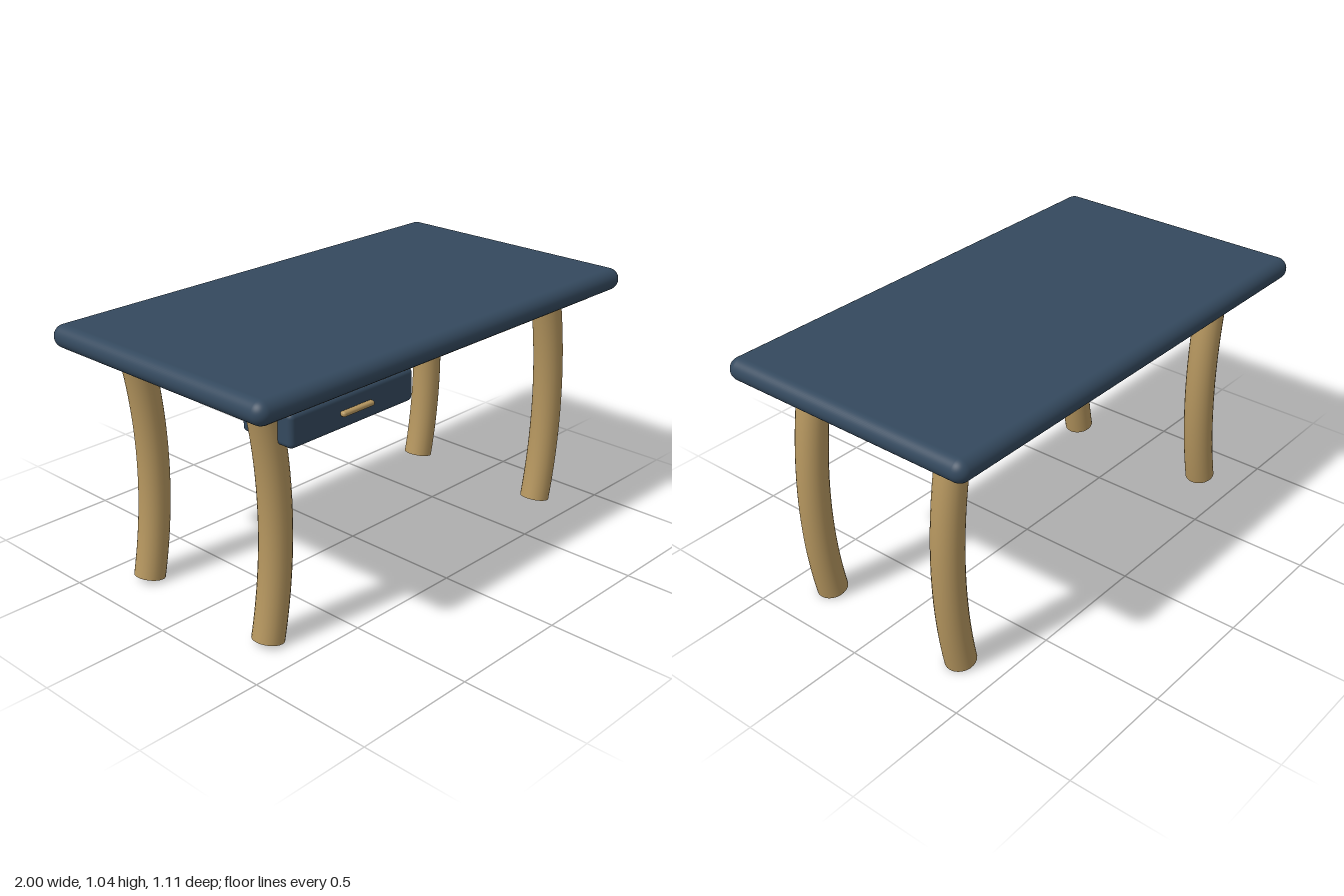
import * as THREE from 'three';
import { RoundedBoxGeometry } from 'three/addons/geometries/RoundedBoxGeometry.js';

export function createModel() {
  const table = new THREE.Group();
  table.name = 'desk';

  const navy = new THREE.MeshStandardMaterial({ color: 0x34495e });
  navy.name = 'navy paint';
  const wood = new THREE.MeshStandardMaterial({ color: 0xb5965f, side: THREE.DoubleSide });
  wood.name = 'light wood';

  // Rounded block given by its minimum and maximum corners
  function block(name, min, max, radius, material) {
    const size = max.map((v, i) => v - min[i]);
    const mesh = new THREE.Mesh(new RoundedBoxGeometry(...size, 6, radius), material);
    mesh.position.set(...max.map((v, i) => (v + min[i]) / 2));
    mesh.name = name;
    table.add(mesh);
  }

  // Top and the thinner board beneath it
  block('tableTop', [-1, 0.947, -0.555], [1, 1.037, 0.555], 0.0449, navy);
  block('underBoard', [-0.91, 0.907, -0.47], [0.91, 0.947, 0.47], 0.0199, wood);

  // Hanging drawer with its pull
  block('drawer', [-0.775, 0.78, 0.214], [-0.165, 0.908, 0.457], 0.02, navy);
  block('drawerHandle', [-0.545, 0.834, 0.455], [-0.39, 0.854, 0.479], 0.009, wood);

  // Four bowed legs, all curving the same way
  const bow = new THREE.QuadraticBezierCurve3(
    new THREE.Vector3(0, 0.012, 0),
    new THREE.Vector3(0.098, 0.465, 0),
    new THREE.Vector3(0, 0.918, 0)
  );
  const legGeometry = new THREE.TubeGeometry(bow, 24, 0.061, 24, false);
  for (const x of [-1, 1]) {
    for (const z of [-1, 1]) {
      const leg = new THREE.Mesh(legGeometry, wood);
      leg.position.set(x * 0.788, 0, z * 0.333);
      leg.name = (z > 0 ? 'front' : 'back') + (x > 0 ? 'Left' : 'Right') + 'Leg';
      table.add(leg);
    }
  }

  return table;
}
